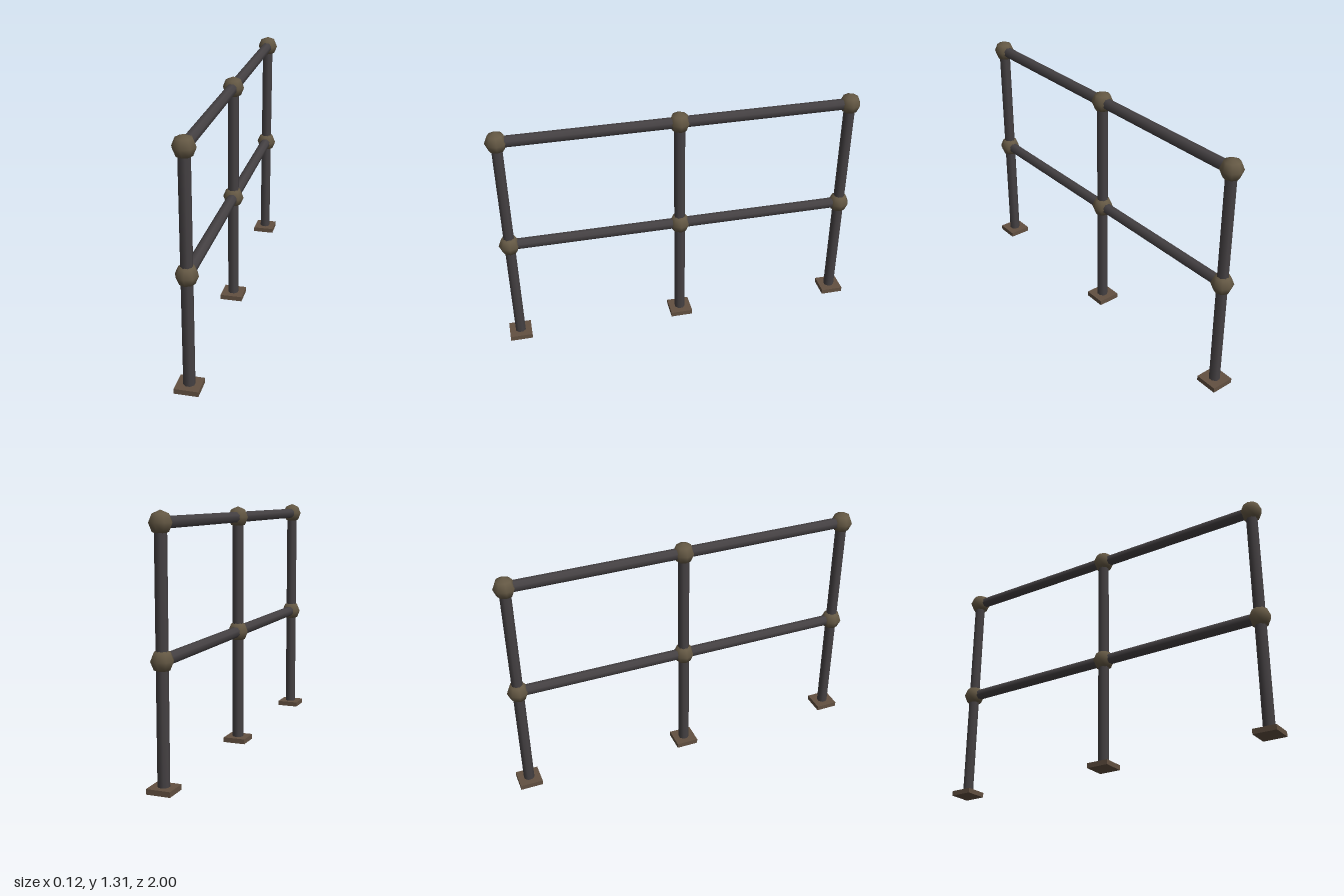
import * as THREE from 'three';

const steel = new THREE.MeshStandardMaterial({ color: 0x454143 });
steel.name = 'dark steel';
const bronze = new THREE.MeshStandardMaterial({ color: 0x645844 });
bronze.name = 'aged bronze';
const plateBrown = new THREE.MeshStandardMaterial({ color: 0x625041 });
plateBrown.name = 'plate brown';

const END_Z = 0.938;
const RAIL_HEIGHTS = [0.625, 1.255];
const PIPE_RADIUS = 0.03;
const PLATE_SIZE = 0.124;
const PLATE_HEIGHT = 0.027;

// Eight-sided pipe along y with flats facing the axes
function pipe(length) {
  return new THREE.CylinderGeometry(PIPE_RADIUS, PIPE_RADIUS, length, 8).rotateY(Math.PI / 8);
}

export function createModel() {
  const model = new THREE.Group();
  model.name = 'railing';

  const add = (name, geometry, material, y, z) => {
    const mesh = new THREE.Mesh(geometry, material);
    mesh.name = name;
    mesh.position.set(0, y, z);
    model.add(mesh);
  };

  const postHeight = RAIL_HEIGHTS[1] - PLATE_HEIGHT / 2;
  const postGeometry = pipe(postHeight);
  const railGeometry = pipe(END_Z * 2).rotateX(Math.PI / 2);
  const ballGeometry = new THREE.SphereGeometry(0.058, 8, 4);
  const plateGeometry = new THREE.BoxGeometry(PLATE_SIZE, PLATE_HEIGHT, PLATE_SIZE);

  // Posts with foot plates and ball joints
  for (const z of [-END_Z, 0, END_Z]) {
    add('footPlate', plateGeometry, plateBrown, PLATE_HEIGHT / 2, z);
    add('post', postGeometry, steel, PLATE_HEIGHT / 2 + postHeight / 2, z);
    for (const y of RAIL_HEIGHTS) add('ballJoint', ballGeometry, bronze, y, z);
  }

  // Horizontal rails
  for (const y of RAIL_HEIGHTS) add('rail', railGeometry, steel, y, 0);

  return model;
}
